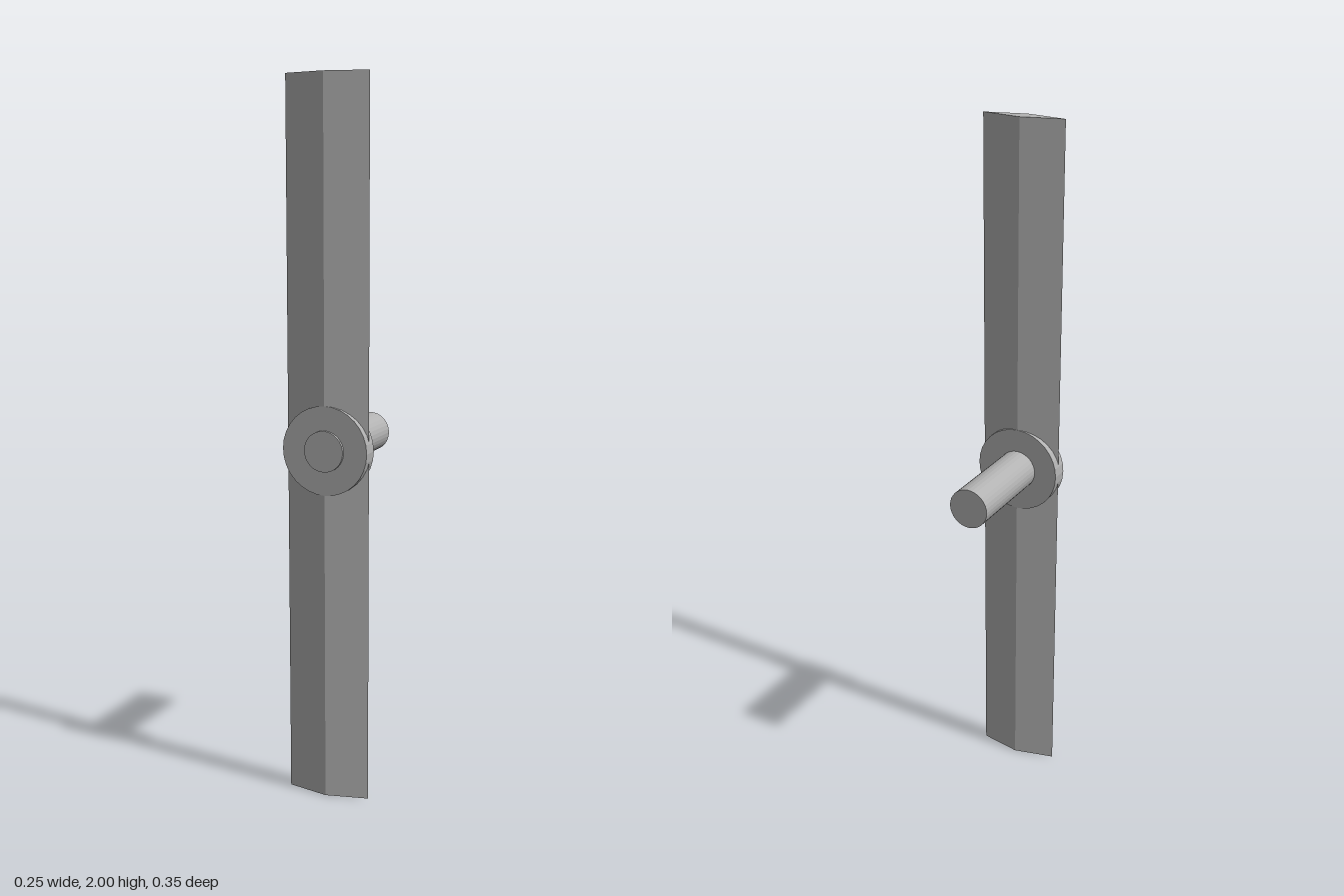
import * as THREE from 'three';

export function createModel() {
  const model = new THREE.Group();
  model.name = 'propeller';
  const metal = new THREE.MeshStandardMaterial({ color: 0xb2b2b2, flatShading: true });
  metal.name = 'grey metal';

  const add = (name, geometry, y, z) => {
    const mesh = new THREE.Mesh(geometry, metal);
    mesh.name = name;
    mesh.position.set(0, y, z);
    model.add(mesh);
  };

  // Round part lying along z
  const disc = (radius, length) =>
    new THREE.CylinderGeometry(radius, radius, length, 32).rotateX(Math.PI / 2);

  // Two blades with a diamond cross-section, meeting at the hub
  for (const [name, y] of [['upperBlade', 1.5], ['lowerBlade', 0.5]]) {
    add(name, new THREE.CylinderGeometry(1, 1, 1, 4).scale(0.12, 1, 0.026), y, 0.142);
  }

  // Hub disc, and the shaft that passes through it and runs back
  add('hub', disc(0.124, 0.052), 1, 0.142);
  add('shaft', disc(0.057, 0.352), 1, 0);

  return model;
}
